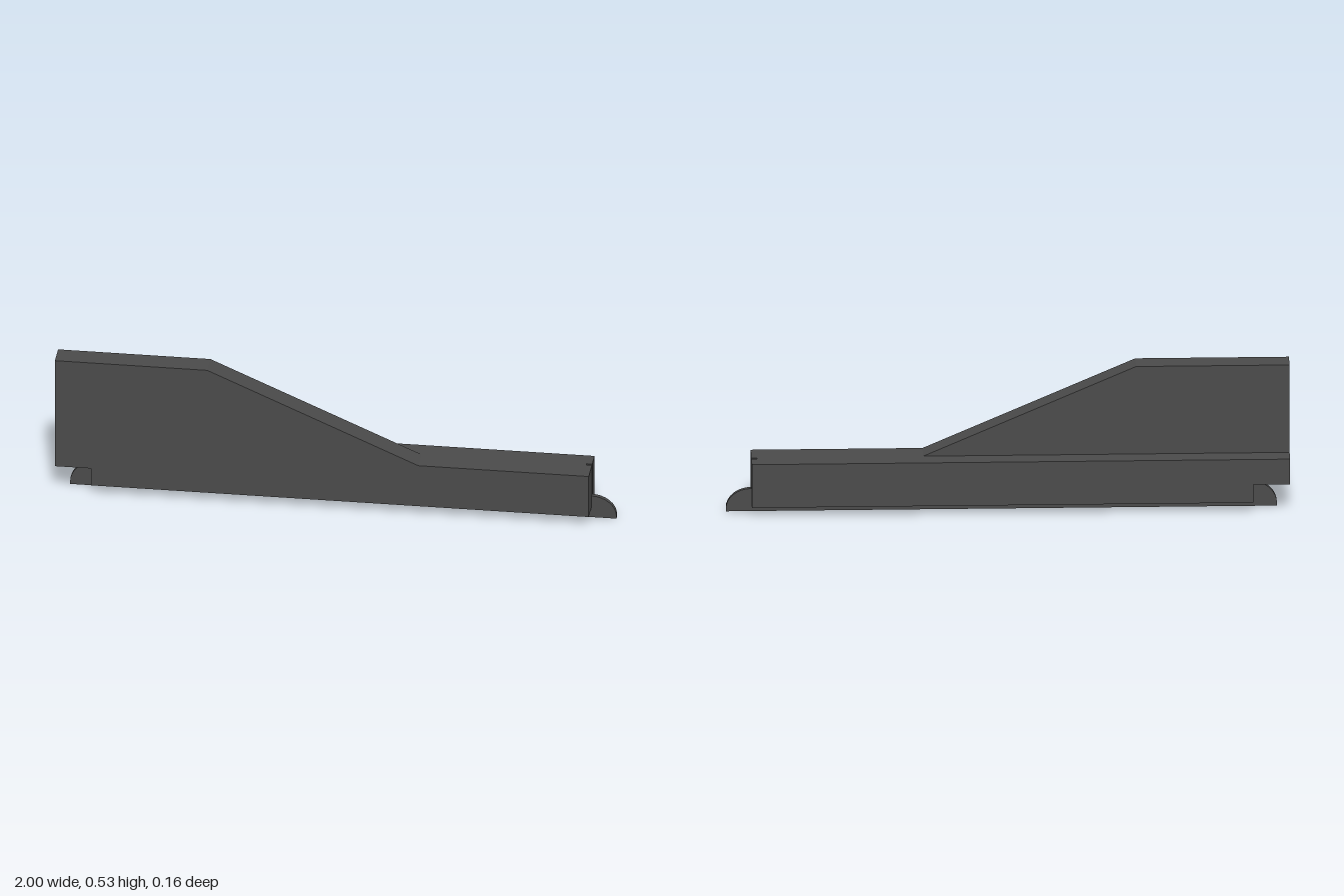
import * as THREE from 'three';

const material = new THREE.MeshStandardMaterial({ color: 0x4a4a4a, flatShading: true });

// Extrudes an x-y outline between two depths
function slab(name, points, zBack, zFront) {
  const shape = new THREE.Shape(points.map(([x, y]) => new THREE.Vector2(x, y)));
  const geometry = new THREE.ExtrudeGeometry(shape, { depth: zFront - zBack, bevelEnabled: false });
  geometry.translate(0, 0, zBack);
  const mesh = new THREE.Mesh(geometry, material);
  mesh.name = name;
  return mesh;
}

export function createModel() {
  const group = new THREE.Group();
  group.name = 'bladeHolder';

  // Shared lower outline with the notch at the tall end
  const base = [[-1, 0.105], [-0.87, 0.105], [-0.87, 0.037], [0.91, 0.037], [0.91, 0.2]];

  // Tall front plate with the sloping shoulder
  group.add(slab('frontPlate', [...base, [0.3, 0.2], [-0.455, 0.53], [-1, 0.53]], -0.007, 0.078));

  // Low back rail
  group.add(slab('backRail', [...base, [-1, 0.2]], -0.077, -0.016));

  // Web joining both halves above the open groove
  group.add(slab('joiningWeb', [[-1, 0.105], [-0.87, 0.105], [-0.87, 0.15],
    [0.89, 0.15], [0.89, 0.2], [-1, 0.2]], -0.016, -0.007));

  // Thin blade with rounded ends
  const outline = [[-0.955, 0], [1, 0]];
  const steps = 8;
  for (let i = 0; i <= steps; i++) {
    const a = (i / steps) * Math.PI / 2;
    outline.push([0.91 + 0.09 * Math.cos(a), 0.01 + 0.075 * Math.sin(a)]);
  }
  for (let i = steps; i >= 0; i--) {
    const a = (i / steps) * Math.PI / 2;
    outline.push([-0.865 - 0.09 * Math.cos(a), 0.01 + 0.082 * Math.sin(a)]);
  }
  group.add(slab('blade', outline, -0.0075, 0.009));

  return group;
}
